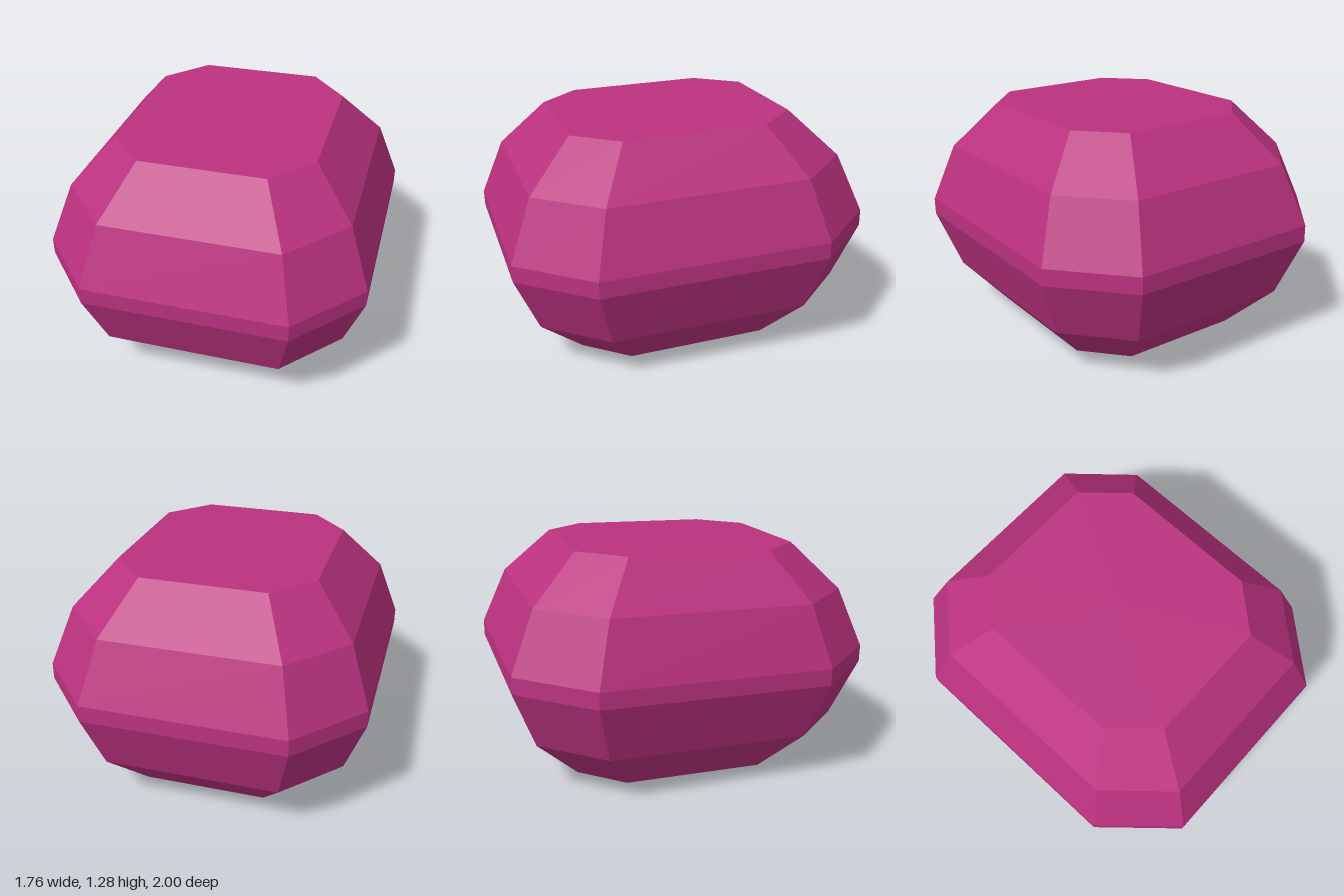
import * as THREE from 'three';

// Girdle outline: rectangle with cut corners, ordered counter-clockwise seen from above
const OUTLINE = [
  [0.55, 1], [0.88, 0.63], [0.88, -0.63], [0.55, -1],
  [-0.55, -1], [-0.88, -0.63], [-0.88, 0.63], [-0.55, 1],
];
// Height and scale of each tier, bottom to top
const TIERS = [
  [-0.627, 0.62], [-0.374, 0.87], [-0.046, 1], [0.046, 1], [0.374, 0.87], [0.627, 0.62],
];

function gemGeometry() {
  const n = OUTLINE.length;
  const rings = TIERS.map(([y, s]) => OUTLINE.map(([x, z]) => [x * s, y, z * s]));
  const pos = [];
  const tri = (a, b, c) => pos.push(...a, ...b, ...c);
  const last = rings.length - 1;
  for (let i = 0; i < n; i++) {
    const j = (i + 1) % n;
    // Side facets
    for (let r = 0; r < last; r++) {
      const a = rings[r][i], b = rings[r][j], c = rings[r + 1][j], d = rings[r + 1][i];
      tri(a, b, c);
      tri(a, c, d);
    }
    // Flat bottom and top
    tri([0, TIERS[0][0], 0], rings[0][j], rings[0][i]);
    tri([0, TIERS[last][0], 0], rings[last][i], rings[last][j]);
  }
  const geo = new THREE.BufferGeometry();
  geo.setAttribute('position', new THREE.Float32BufferAttribute(pos, 3));
  geo.computeVertexNormals();
  return geo;
}

export function createModel() {
  const group = new THREE.Group();
  group.name = 'gemstone';
  const magenta = new THREE.MeshStandardMaterial({ color: 0xbb327f, flatShading: true });
  magenta.name = 'magenta';

  // Cut stone, tipped slightly forward
  const stone = new THREE.Mesh(gemGeometry(), magenta);
  stone.name = 'cutStone';
  stone.rotation.x = 0.02;
  stone.position.y = 0.64;
  group.add(stone);
  return group;
}
